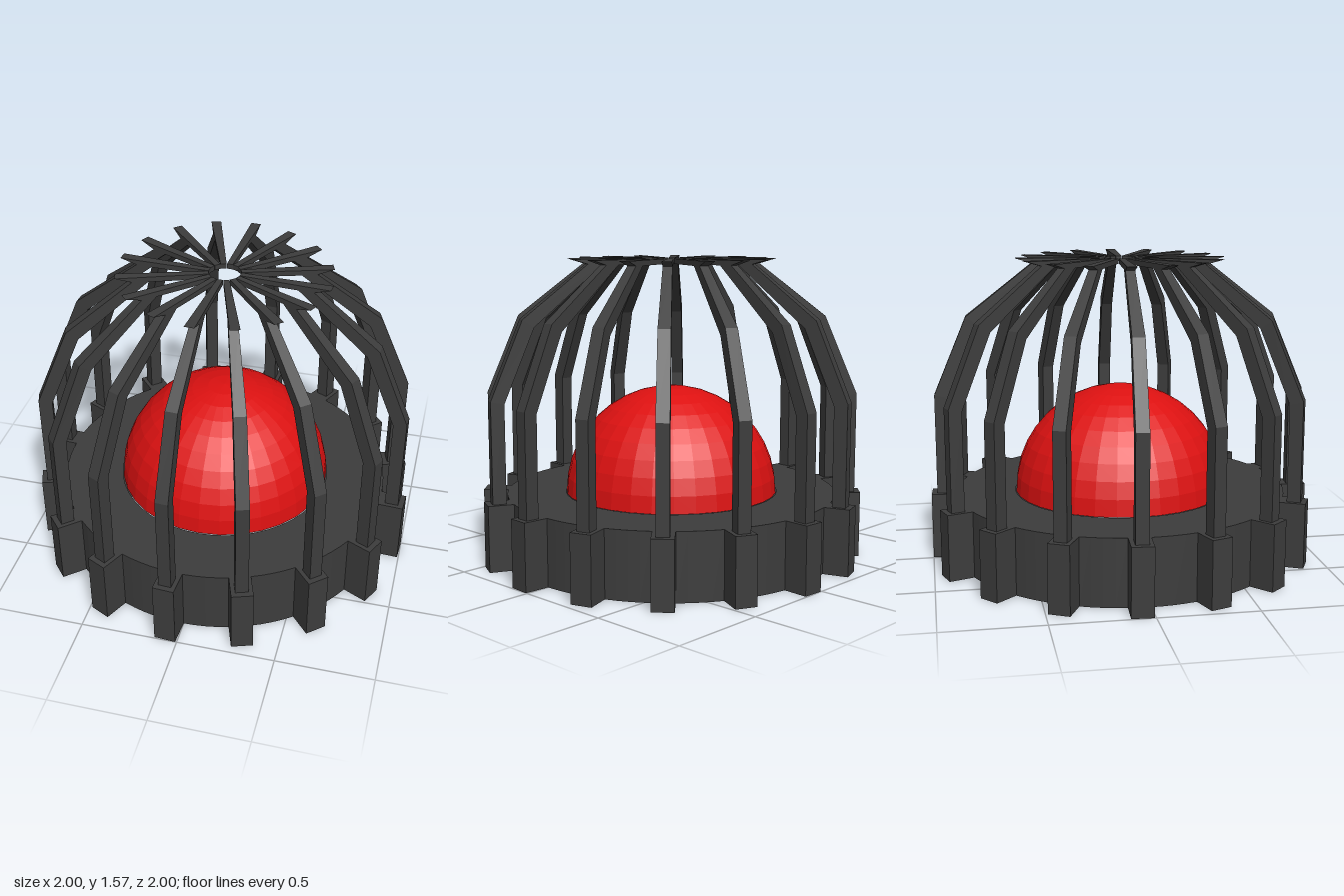
import * as THREE from 'three';

const COUNT = 16;
const STEP = (Math.PI * 2) / COUNT;
const OFFSET = THREE.MathUtils.degToRad(3.6);
const BASE_H = 0.345;
const ROOT_R = 0.868, TIP_R = 0.9985, TOOTH_HALF = 0.055, BORE_R = 0.56;

function indexed(positions, indices) {
  const g = new THREE.BufferGeometry();
  g.setAttribute('position', new THREE.Float32BufferAttribute(positions, 3));
  g.setIndex(indices);
  g.computeVertexNormals();
  return g;
}

// Toothed outline of the base, counter-clockwise
function gearOutline() {
  const pts = [];
  const polar = (r, a) => pts.push(new THREE.Vector2(r * Math.cos(a), r * Math.sin(a)));
  const root = Math.asin(TOOTH_HALF / ROOT_R);
  const tip = Math.atan(TOOTH_HALF / TIP_R);
  const tipR = Math.hypot(TIP_R, TOOTH_HALF);
  const arcSegs = 4;
  for (let i = 0; i < COUNT; i++) {
    const a = i * STEP - OFFSET;
    polar(ROOT_R, a - root);
    polar(tipR, a - tip);
    polar(tipR, a + tip);
    for (let k = 0; k < arcSegs; k++) polar(ROOT_R, a + root + ((STEP - 2 * root) * k) / arcSegs);
  }
  return pts;
}

// Vertical wall that follows an outline
function wallGeometry(pts, height) {
  const pos = [], idx = [];
  pts.forEach((p, i) => {
    const j = (i + 1) % pts.length;
    pos.push(p.x, 0, -p.y, p.x, height, -p.y);
    idx.push(2 * i, 2 * j, 2 * j + 1, 2 * i, 2 * j + 1, 2 * i + 1);
  });
  return indexed(pos, idx);
}

// Bar swept through stations [outerR, outerY, innerR, innerY], narrowing toward the axis
function barGeometry(stations) {
  const half = r => 0.015 + 0.018 * Math.min(1, (r - 0.08) / 0.8);
  const pos = [], idx = [];
  const quad = (a, b, c, d) => idx.push(a, b, c, a, c, d);
  for (const [ro, yo, ri, yi] of stations) {
    pos.push(ro, yo, half(ro), ro, yo, -half(ro), ri, yi, -half(ri), ri, yi, half(ri));
  }
  const last = (stations.length - 1) * 4;
  for (let i = 0; i < last; i += 4) {
    for (let k = 0; k < 4; k++) {
      const n = (k + 1) % 4;
      quad(i + k, i + n, i + 4 + n, i + 4 + k);
    }
  }
  quad(3, 2, 1, 0);
  quad(last, last + 1, last + 2, last + 3);
  return indexed(pos, idx);
}

export function createModel() {
  const model = new THREE.Group();
  model.name = 'cagedDome';
  const dark = new THREE.MeshStandardMaterial({ color: 0x3c3c3c, flatShading: true, side: THREE.DoubleSide });
  const red = new THREE.MeshStandardMaterial({ color: 0xdd1111, flatShading: true, side: THREE.DoubleSide });

  const add = (parent, name, geometry, material) => {
    const mesh = new THREE.Mesh(geometry, material);
    mesh.name = name;
    parent.add(mesh);
    return mesh;
  };

  // Hollow toothed base: two ring plates joined by the outer wall
  const base = new THREE.Group();
  base.name = 'base';
  model.add(base);
  const outline = gearOutline();
  const shape = new THREE.Shape(outline);
  shape.holes.push(new THREE.Path().absarc(0, 0, BORE_R, 0, Math.PI * 2, true));
  const plate = new THREE.ShapeGeometry(shape, 24);
  add(base, 'baseTop', plate.clone().rotateX(-Math.PI / 2).translate(0, BASE_H, 0), dark);
  // Mirrored in z so the underside matches the top outline
  const bottom = plate.clone().rotateX(-Math.PI / 2);
  const order = bottom.index.array;
  for (let i = 0; i < order.length; i += 3) [order[i], order[i + 1]] = [order[i + 1], order[i]];
  bottom.computeVertexNormals();
  add(base, 'baseBottom', bottom, dark);
  add(base, 'baseWall', wallGeometry(outline, BASE_H), dark);

  // Open red dome
  const dome = new THREE.SphereGeometry(0.557, 32, 10, 0, Math.PI * 2, 0, Math.PI / 2);
  add(model, 'dome', dome.translate(0, BASE_H, 0), red);

  // Cage of bent ribs, each ending in a flat spoke with a pointed outer tip
  const ribGeo = barGeometry([
    [0.97, 0.33, 0.9, 0.33],
    [0.97, 0.87, 0.9, 0.855],
    [0.8, 1.275, 0.74, 1.235],
    [0.45, 1.55, 0.37, 1.55],
  ]);
  const spokeGeo = barGeometry([
    [0.54, 1.57, 0.45, 1.543],
    [0.08, 1.57, 0.08, 1.543],
  ]);
  const cage = new THREE.Group();
  cage.name = 'cage';
  model.add(cage);
  for (let i = 0; i < COUNT; i++) {
    const rib = new THREE.Group();
    rib.name = `rib${i + 1}`;
    rib.rotation.y = -(OFFSET + i * STEP);
    add(rib, 'ribBar', ribGeo, dark);
    add(rib, 'ribSpoke', spokeGeo, dark);
    cage.add(rib);
  }
  return model;
}
